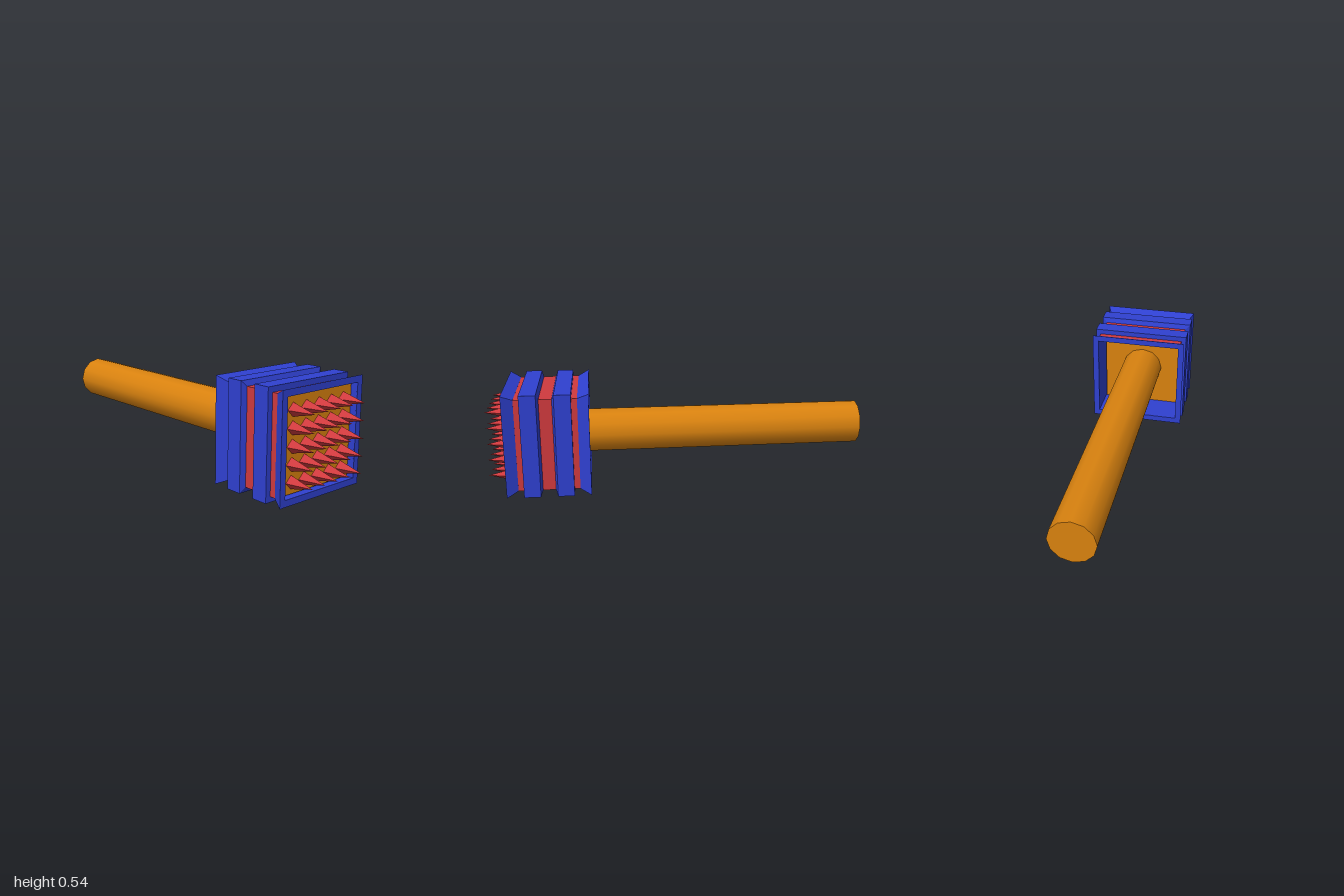
import * as THREE from 'three';

const CY = 0.271; // height of the hammer's axis
const paint = (color, flatShading = true) => new THREE.MeshStandardMaterial({ color, flatShading });

// Closed ring of square section around the x axis; profile is [x, half width].
function squareRing(name, profile, material) {
  const pts = [...profile, profile[0]].map(([x, r]) => new THREE.Vector2(r * Math.SQRT2, x));
  const geo = new THREE.LatheGeometry(pts, 4, Math.PI / 4);
  geo.rotateZ(-Math.PI / 2);
  const mesh = new THREE.Mesh(geo, material);
  mesh.name = name;
  mesh.position.y = CY;
  return mesh;
}

export function createModel() {
  const group = new THREE.Group();
  group.name = 'spikedHammer';
  const blue = paint(0x2f40d0), red = paint(0xd03a3e), wood = paint(0xd9820f);

  // Handle running into the head
  const handleGeo = new THREE.CylinderGeometry(0.117, 0.117, 1.68, 12);
  handleGeo.rotateZ(-Math.PI / 2);
  const handle = new THREE.Mesh(handleGeo, paint(0xd9820f, false));
  handle.name = 'handle';
  handle.position.set(-0.16, 0.273, -0.003);
  group.add(handle);

  // Wooden block inside the head
  const block = new THREE.Mesh(new THREE.BoxGeometry(0.22, 0.466, 0.466), wood);
  block.name = 'headBlock';
  block.position.set(0.76, CY, 0.001);
  group.add(block);

  // Blue lining with a red sleeve over it
  const inner = 0.2375;
  group.add(squareRing('lining',
    [[0.472, inner], [0.472, 0.24], [0.9, 0.24], [0.9, inner]], blue));
  group.add(squareRing('sleeve',
    [[0.5, 0.239], [0.5, 0.243], [0.875, 0.243], [0.875, 0.239]], red));

  // Flared rims and chamfered bands, mirrored about the middle of the head
  const mid = 0.687;
  const rim = [[-0.217, inner], [-0.217, 0.271], [-0.159, 0.2435], [-0.159, 0.239]];
  const band = [[-0.129, 0.239], [-0.129, 0.271], [-0.044, 0.271], [-0.033, 0.243], [-0.033, 0.239]];
  for (const [name, profile] of [['Rim', rim], ['Band', band]]) {
    group.add(squareRing('back' + name, profile.map(([x, r]) => [mid + x, r]), blue));
    group.add(squareRing('front' + name, profile.map(([x, r]) => [mid - x, r]).reverse(), blue));
  }

  // Five by five grid of pyramid spikes on the striking face
  const spikes = new THREE.Group();
  spikes.name = 'spikes';
  const spikeGeo = new THREE.ConeGeometry(0.034, 0.132, 4);
  spikeGeo.rotateZ(-Math.PI / 2);
  for (let row = -2; row <= 2; row++) {
    for (let col = -2; col <= 2; col++) {
      const spike = new THREE.Mesh(spikeGeo, red);
      spike.name = 'spike';
      spike.position.set(0.934, 0.265 + row * 0.085, -0.004 + col * 0.0855);
      spikes.add(spike);
    }
  }
  group.add(spikes);
  return group;
}
